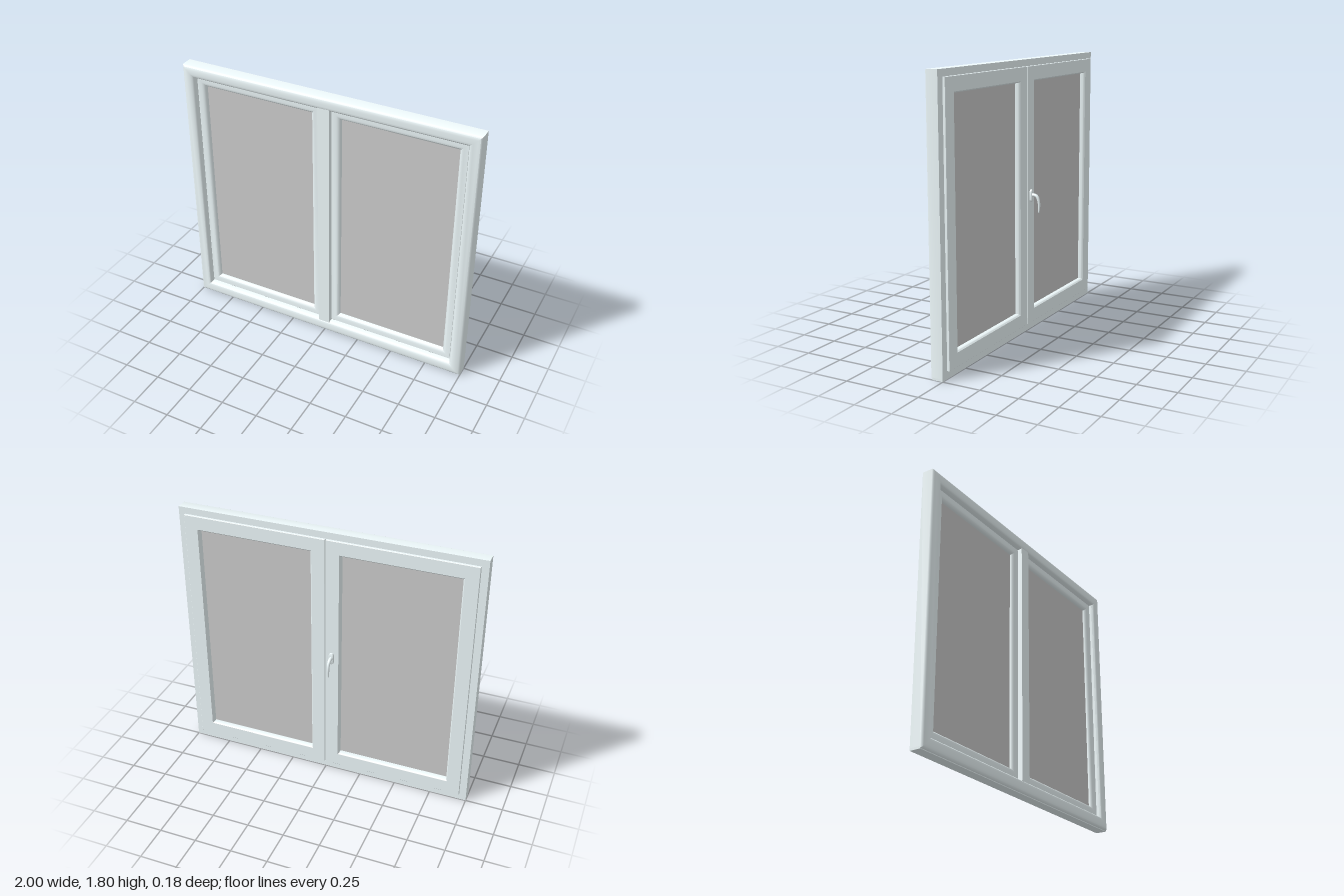
import * as THREE from 'three';
import { toCreasedNormals } from 'three/addons/utils/BufferGeometryUtils.js';

const paint = new THREE.MeshStandardMaterial({ color: 0xeef9fb });
const glassGrey = new THREE.MeshStandardMaterial({ color: 0xcccccc });

function mesh(name, geometry, material, x = 0, y = 0, z = 0) {
  const m = new THREE.Mesh(geometry, material);
  m.name = name;
  m.position.set(x, y, z);
  return m;
}

// Mitred rectangular ring: a closed profile of [inset, z] swept round a rectangle
function mitredRing(x0, y0, x1, y1, profile) {
  const corners = [[x0, y0, 1, 1], [x1, y0, -1, 1], [x1, y1, -1, -1], [x0, y1, 1, -1]];
  const at = (c, [d, z]) => [c[0] + c[2] * d, c[1] + c[3] * d, z];
  const pos = [];
  for (let i = 0; i < 4; i++) {
    const c = corners[i], n = corners[(i + 1) % 4];
    profile.forEach((a, k) => {
      const b = profile[(k + 1) % profile.length];
      pos.push(...at(c, a), ...at(n, a), ...at(n, b), ...at(c, a), ...at(n, b), ...at(c, b));
    });
  }
  const g = new THREE.BufferGeometry();
  g.setAttribute('position', new THREE.Float32BufferAttribute(pos, 3));
  return toCreasedNormals(g, 0.6);
}

// Tube along a curve whose radius tapers from r0 to r1
function taperedTube(curve, r0, r1, steps = 28, sides = 14) {
  const g = new THREE.TubeGeometry(curve, steps, 1, sides, false);
  const p = g.attributes.position, v = new THREE.Vector3();
  for (let i = 0; i < p.count; i++) {
    const t = Math.floor(i / (sides + 1)) / steps;
    const c = curve.getPointAt(t);
    v.fromBufferAttribute(p, i).sub(c).multiplyScalar(r0 + (r1 - r0) * t).add(c);
    p.setXYZ(i, v.x, v.y, v.z);
  }
  g.computeVertexNormals();
  return g;
}

// Sash overlapping the frame at the back, with its pane
function sash(name, x0, x1) {
  const y0 = 0.053, y1 = 1.757;
  const g = new THREE.Group();
  g.name = name;
  const profile = [
    [0, -0.018], [0, -0.003], [0.037, -0.003], [0.037, 0.05], [0.042, 0.055],
    [0.07, 0.055], [0.082, 0.052], [0.092, 0.045], [0.097, 0.036],
    [0.097, -0.006], [0.094, -0.015], [0.088, -0.02], [0.002, -0.02],
  ];
  g.add(mesh('sashFrame', mitredRing(x0, y0, x1, y1, profile), paint));
  const w = x1 - x0 - 0.18, h = y1 - y0 - 0.18;
  g.add(mesh('pane', new THREE.BoxGeometry(w, h, 0.012), glassGrey, (x0 + x1) / 2, (y0 + y1) / 2, 0.022));
  return g;
}

function handle() {
  const g = new THREE.Group();
  g.name = 'handle';
  // Oval mounting plate
  const s = new THREE.Shape();
  s.absarc(0, 0.025, 0.014, 0, Math.PI);
  s.absarc(0, -0.025, 0.014, Math.PI, Math.PI * 2);
  const plate = new THREE.ExtrudeGeometry(s, {
    depth: 0.01, bevelSize: 0.002, bevelThickness: 0.003, bevelSegments: 2, curveSegments: 14,
  });
  g.add(mesh('handlePlate', toCreasedNormals(plate, 0.6), paint, 0, 0.92, -0.031));
  // Neck bending down into the grip
  const path = new THREE.CatmullRomCurve3([
    [0.924, -0.03], [0.924, -0.05], [0.918, -0.064], [0.9, -0.075], [0.86, -0.082], [0.815, -0.079],
  ].map(([y, z]) => new THREE.Vector3(0, y, z)));
  g.add(mesh('handleLever', taperedTube(path, 0.012, 0.006), paint));
  g.add(mesh('handleTip', new THREE.SphereGeometry(0.006, 14, 10), paint, 0, 0.815, -0.079));
  g.position.x = -0.045;
  return g;
}

export function createModel() {
  const model = new THREE.Group();
  model.name = 'window';

  // Outer frame with softly rounded front edges
  const profile = [
    [0, 0], [0, 0.072], [0.004, 0.08], [0.012, 0.086], [0.026, 0.09],
    [0.054, 0.09], [0.068, 0.086], [0.076, 0.08], [0.08, 0.07], [0.08, 0],
  ];
  model.add(mesh('outerFrame', mitredRing(-1, 0.005, 1, 1.8, profile), paint));

  // Drip strip along the foot
  model.add(mesh('footStrip', new THREE.BoxGeometry(2, 0.015, 0.07), paint, 0, 0.0075, 0.036));

  // Centre post
  model.add(mesh('centrePost', new THREE.BoxGeometry(0.08, 1.65, 0.083), paint, 0, 0.905, 0.0425));

  model.add(sash('leftSash', 0.003, 0.955));
  model.add(sash('rightSash', -0.955, -0.003));
  model.add(handle());
  return model;
}
